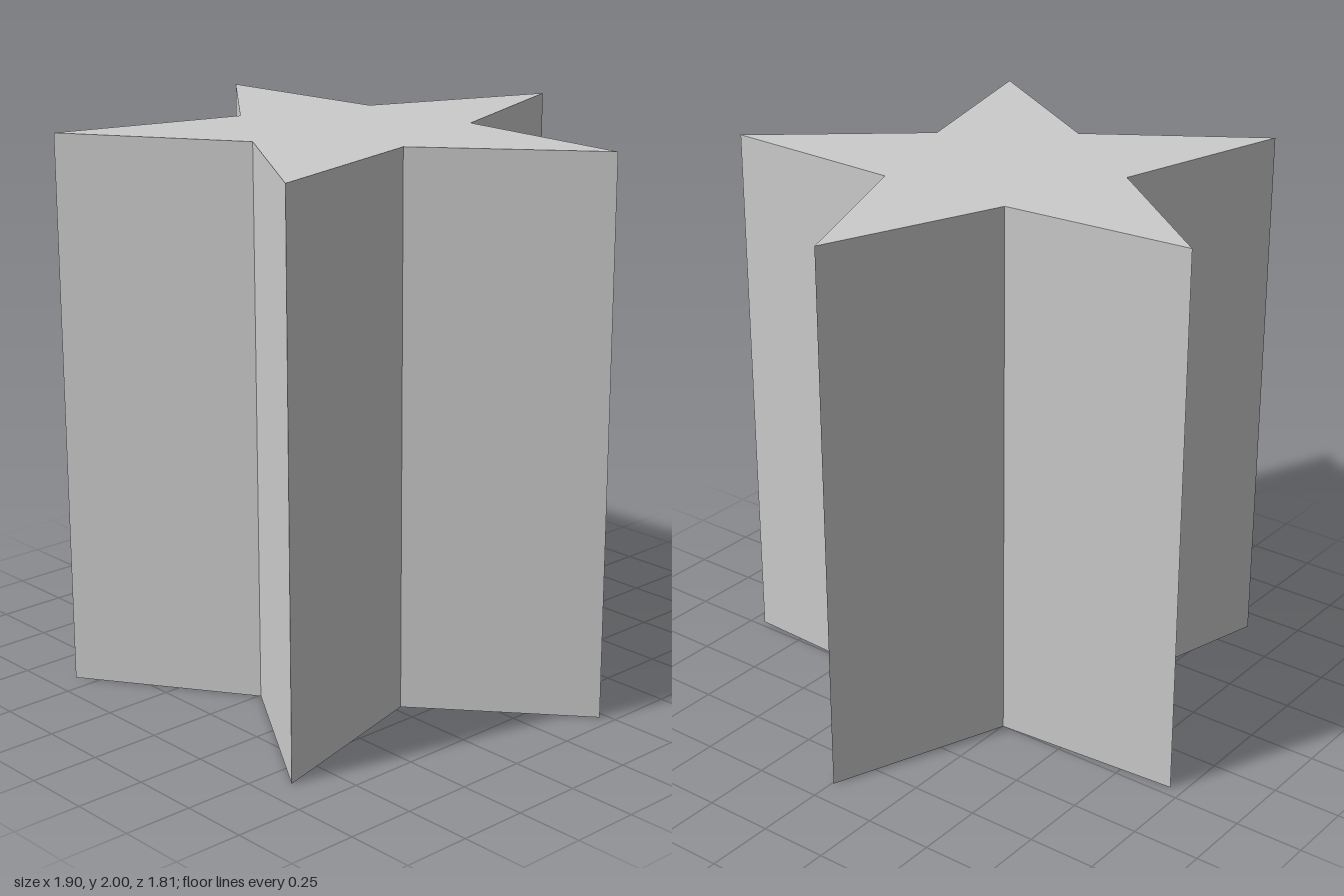
import * as THREE from 'three';

export function createModel() {
  const group = new THREE.Group();
  group.name = 'starPrism';

  // Five-pointed star outline, turned very slightly about its centre
  const outerRadius = 1, innerRadius = 0.43, height = 2;
  const start = Math.PI / 2 + 0.009;
  const points = Array.from({ length: 10 }, (_, i) => {
    const r = i % 2 ? innerRadius : outerRadius;
    const a = start + (i * Math.PI) / 5;
    return new THREE.Vector2(r * Math.cos(a), r * Math.sin(a));
  });

  // Upright prism with sharp edges, one tip pointing to the back
  const geometry = new THREE.ExtrudeGeometry(new THREE.Shape(points), { depth: height, bevelEnabled: false });
  geometry.rotateX(-Math.PI / 2);

  // Centre the footprint and stand it on the ground
  geometry.computeBoundingBox();
  const { min, max } = geometry.boundingBox;
  geometry.translate(-(min.x + max.x) / 2, -min.y, -(min.z + max.z) / 2);

  const material = new THREE.MeshStandardMaterial({ color: 0xcccccc, flatShading: true });
  const star = new THREE.Mesh(geometry, material);
  star.name = 'starColumn';
  group.add(star);
  return group;
}
